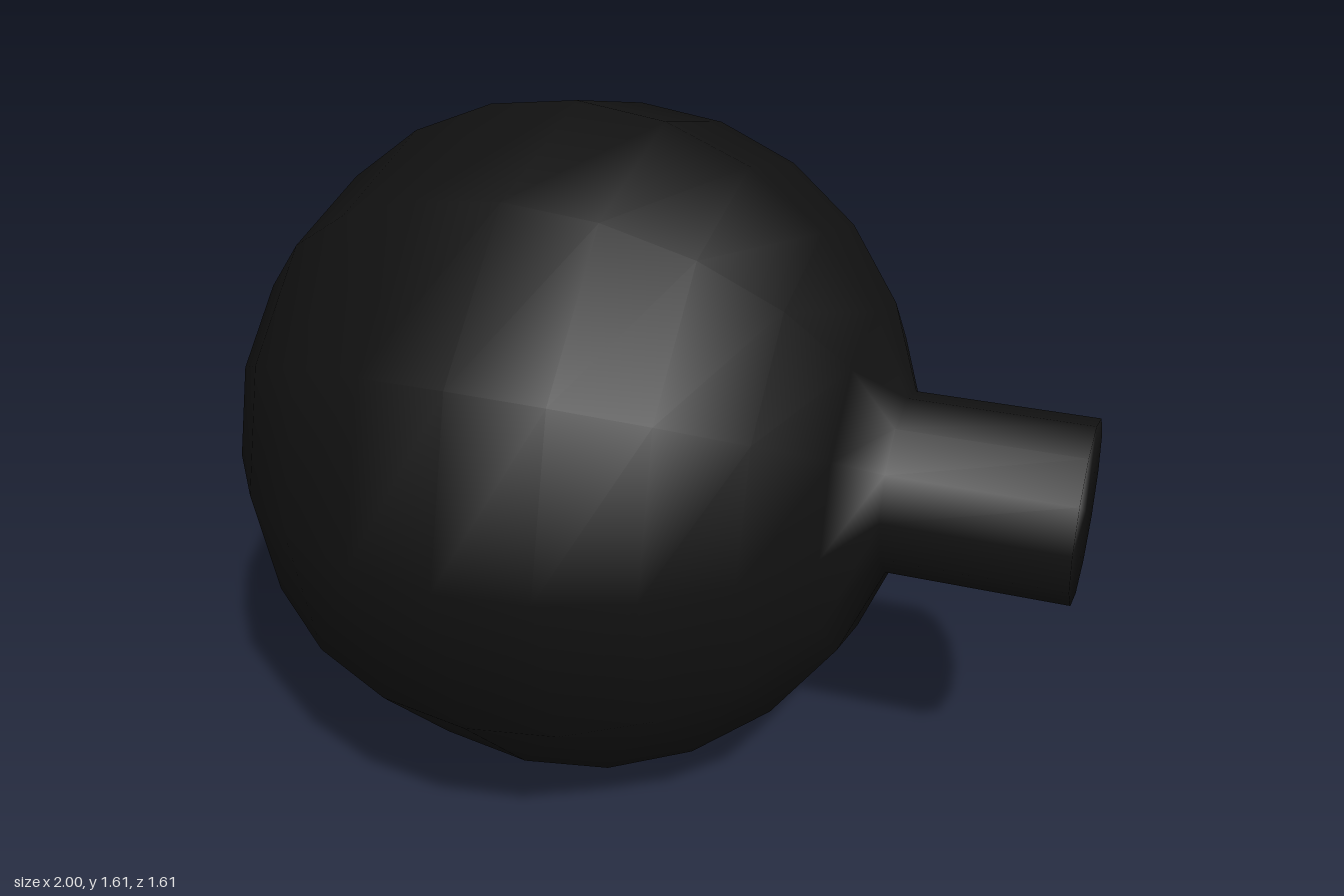
import * as THREE from 'three';

export function createModel() {
  const model = new THREE.Group();
  const radius = 0.807;
  const centreX = -1 + radius;
  const sides = 12;

  // Ball profile from the closed pole to the ring where the neck begins
  const profile = [];
  for (let i = 0; i < sides; i++) {
    const a = (i / sides) * Math.PI;
    profile.push(new THREE.Vector2(radius * Math.sin(a), -radius * Math.cos(a)));
  }

  // Straight neck and its flat end cap
  const neckRadius = radius * Math.sin(Math.PI / sides);
  const neckEnd = 1 - centreX;
  profile.push(new THREE.Vector2(neckRadius, neckEnd));
  profile.push(new THREE.Vector2(0, neckEnd));

  // Turn the profile, then lay its axis along x
  const geometry = new THREE.LatheGeometry(profile, sides);
  geometry.rotateZ(-Math.PI / 2);

  const bulb = new THREE.Mesh(
    geometry,
    new THREE.MeshStandardMaterial({ color: 0x111111 })
  );
  bulb.name = 'ballWithNeck';
  bulb.position.set(centreX, radius, 0);
  model.add(bulb);

  return model;
}
